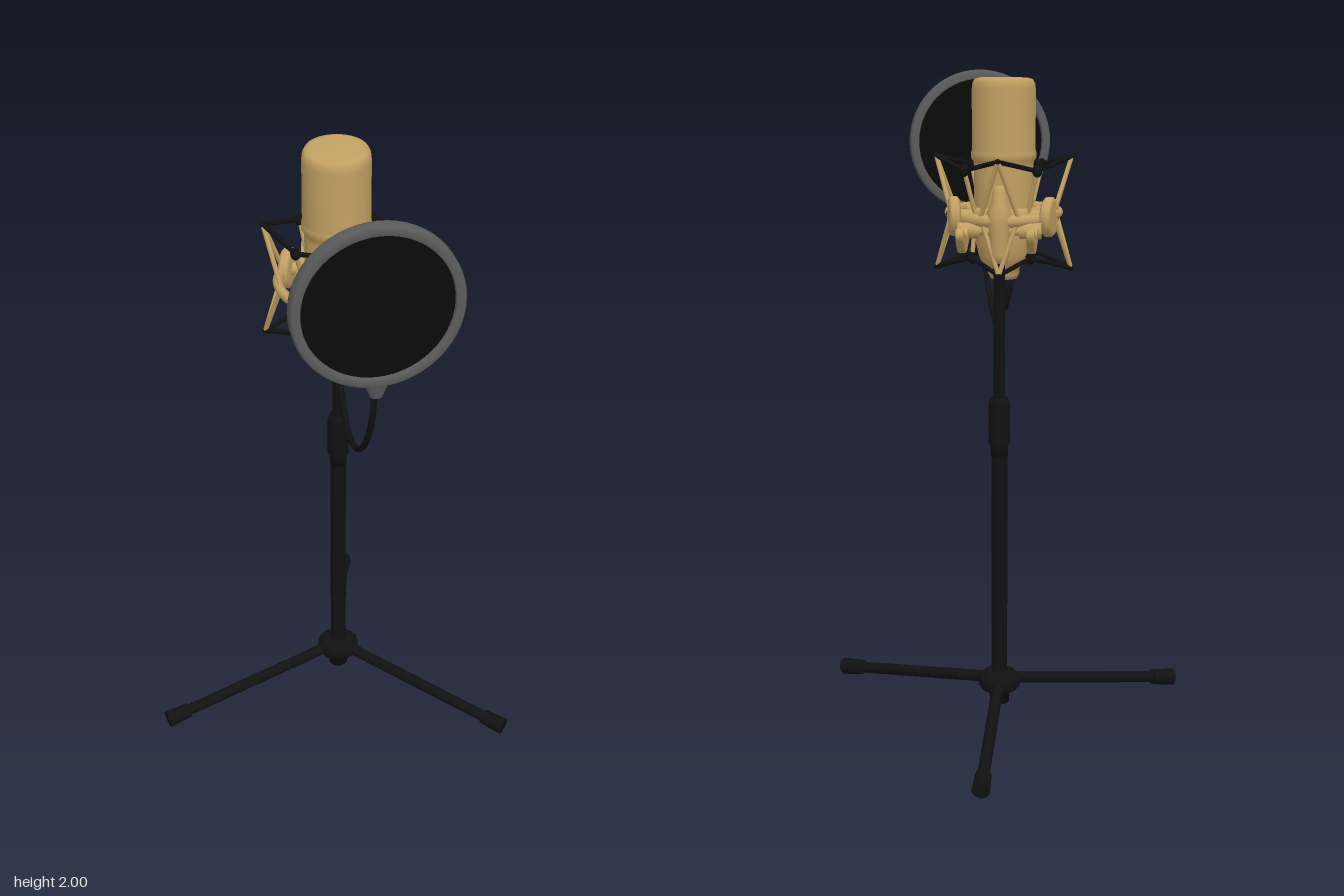
import * as THREE from 'three';

const mat = (name, color, side = THREE.FrontSide) => {
  const m = new THREE.MeshStandardMaterial({ color, side });
  m.name = name;
  return m;
};
const V = (x, y, z) => new THREE.Vector3(x, y, z);

export function createModel() {
  const root = new THREE.Group();
  root.name = 'studioMicrophone';
  const gold = mat('gold', 0xc2a062);
  const black = mat('black', 0x111111);
  const grey = mat('grey', 0x5c5c5c);
  const mesh = mat('filterBlack', 0x0a0a0a);

  const add = (name, geo, material, parent = root) => {
    const m = new THREE.Mesh(geo, material);
    m.name = name;
    parent.add(m);
    return m;
  };
  const lathe = (pts, seg = 40) => new THREE.LatheGeometry(pts.map(p => new THREE.Vector2(p[0], p[1])), seg);
  // round bar between two points
  const bar = (name, a, b, r, material, r2 = r) => {
    const d = b.clone().sub(a);
    const m = add(name, new THREE.CylinderGeometry(r2, r, d.length(), 14), material);
    m.position.copy(a).addScaledVector(d, 0.5);
    m.quaternion.setFromUnitVectors(V(0, 1, 0), d.normalize());
    return m;
  };
  const tube = (name, pts, r, material, seg = 40) =>
    add(name, new THREE.TubeGeometry(new THREE.CatmullRomCurve3(pts), seg, r, 8), material);

  // ---- stand ----
  const PZ = -0.055;
  bar('lowerPole', V(0, 0.05, PZ), V(0, 0.92, PZ), 0.025, black);
  bar('upperPole', V(0, 0.9, PZ), V(0, 1.47, PZ), 0.018, black);
  const collar = add('heightCollar', lathe([[0, 0.86], [0.026, 0.86], [0.027, 0.89], [0.033, 0.9],
    [0.033, 1.02], [0.027, 1.04], [0, 1.04]], 20), black);
  collar.position.z = PZ;
  const hub = add('legHub', lathe([[0, 0.05], [0.03, 0.05], [0.032, 0.09], [0.055, 0.095], [0.066, 0.11],
    [0.066, 0.135], [0.05, 0.15], [0.03, 0.155], [0, 0.155]], 24), black);
  hub.position.z = PZ;
  for (const [x, z] of [[0, -0.655], [0.55, 0.24], [-0.55, 0.24]]) {
    const a = V(0, 0.13, PZ), b = V(x, 0.03, z);
    bar('leg', a, b, 0.018, black);
    bar('foot', b.clone().lerp(a, 0.12), b, 0.024, black, 0.027);
  }

  // ---- microphone ----
  const MZ = 0.1;
  const body = add('microphoneBody', lathe([[0, 1.385], [0.04, 1.385], [0.048, 1.4], [0.05, 1.42], [0.066, 1.43],
    [0.078, 1.46], [0.088, 1.51], [0.091, 1.56], [0.091, 1.73], [0.092, 1.745], [0.1, 1.755], [0.1, 1.77],
    [0.097, 1.78], [0.097, 1.96], [0.095, 1.978], [0.088, 1.99], [0.074, 1.994], [0, 1.994]]), gold);
  body.position.z = MZ;
  // slightly slanted head
  const bp = body.geometry.attributes.position;
  for (let i = 0; i < bp.count; i++) if (bp.getY(i) > 1.9) bp.setY(i, bp.getY(i) - bp.getZ(i) * 0.07);
  body.geometry.computeVertexNormals();
  const badge = add('frontBoss', new THREE.SphereGeometry(0.045, 20, 12), gold);
  badge.position.set(0, 1.47, MZ + 0.065);
  badge.scale.set(1, 0.9, 0.5);
  const plug = add('cablePlug', lathe([[0, 1.285], [0.012, 1.285], [0.02, 1.32], [0.028, 1.345],
    [0.032, 1.385], [0, 1.385]], 20), black);
  plug.position.z = MZ;
  bar('plugLatch', V(0, 1.355, MZ - 0.02), V(0, 1.345, MZ - 0.05), 0.008, black);

  // ---- gooseneck and pop filter ----
  tube('gooseneck', [V(0.005, 1.31, 0.1), V(0.012, 1.25, 0.125), V(0.025, 1.212, 0.2), V(0.04, 1.2, 0.3),
    V(0.065, 1.225, 0.42), V(0.09, 1.3, 0.515), V(0.108, 1.4, 0.565), V(0.116, 1.5, 0.578)], 0.009, black, 60);
  const filter = new THREE.Group();
  filter.name = 'popFilter';
  filter.position.set(0.12, 1.765, 0.58);
  filter.rotation.y = 0.255;
  root.add(filter);
  const rim = add('filterRim', lathe([[0.208, -0.022], [0.228, -0.022], [0.234, -0.015], [0.234, 0.015],
    [0.228, 0.022], [0.208, 0.022], [0.205, 0.015], [0.205, -0.015], [0.208, -0.022]], 56), grey, filter);
  rim.rotation.x = Math.PI / 2;
  const cloth = add('filterMesh', new THREE.CylinderGeometry(0.207, 0.207, 0.02, 56), mesh, filter);
  cloth.rotation.x = Math.PI / 2;
  const clamp = add('filterClamp', new THREE.CylinderGeometry(0.035, 0.016, 0.045, 16), grey, filter);
  clamp.position.y = -0.25;
  clamp.scale.z = 0.6;

  // ---- shock mount rings ----
  const ring = (name, r, t, y) => {
    const m = add(name, new THREE.TorusGeometry(r, t, 12, 56), gold);
    m.rotation.x = Math.PI / 2;
    m.position.set(0, y, MZ);
    return m;
  };
  ring('innerHolder', 0.108, 0.014, 1.59).scale.z = 1.5;
  // outer arc, left open at the sides of the bracket
  const arc = (name, from, to, r, t, y) => {
    const pts = [];
    for (let i = 0; i <= 12; i++) {
      const a = from + (to - from) * i / 12;
      pts.push(V(Math.sin(a) * r * 0.88, y, MZ + Math.cos(a) * r));
    }
    return tube(name, pts, t, gold);
  };
  arc('outerRing', -1.95, 1.95, 0.19, 0.015, 1.59);
  arc('rearBracket', 1.95, 2 * Math.PI - 1.95, 0.165, 0.019, 1.58);

  // ---- prongs and elastic cords ----
  const polar = (a, r, y) => V(Math.sin(a) * r, y, MZ + Math.cos(a) * r);
  for (const [tipY, midY] of [[1.76, 1.725], [1.42, 1.46]]) {
    for (let k = 0; k < 4; k++) {
      const a = k * Math.PI / 2;
      const reach = j => (tipY < 1.5 && j % 4 === 0 ? 0.13 : j % 4 === 2 && tipY < 1.5 ? 0.18 : 0.207);
      const tip = polar(a, reach(k), tipY), next = polar(a + Math.PI / 2, reach(k + 1), tipY);
      for (const s of [-1, 1]) bar('prong', polar(a + s * 0.35, 0.165, 1.59), tip, 0.007, gold);
      add('prongTip', new THREE.SphereGeometry(0.009, 10, 8), black).position.copy(tip);
      const knot = polar(a + Math.PI / 4, tipY > 1.5 ? 0.155 : 0.125, midY);
      bar('elasticCord', tip, knot, 0.007, black);
      bar('elasticCord', knot, next, 0.007, black);
      const hook = polar(a + Math.PI / 4, 0.112, 1.59);
      bar('cordHook', hook, knot, 0.007, gold);
      const bead = add('cordBead', new THREE.SphereGeometry(0.015, 12, 8), black);
      bead.position.copy(knot);
      bead.scale.y = 1.3;
    }
  }

  // ---- swivel knobs and wing levers, mirrored ----
  const wing = new THREE.Shape();
  wing.moveTo(0.02, 1.57);
  wing.quadraticCurveTo(0.07, 1.56, 0.11, 1.54);
  wing.quadraticCurveTo(0.15, 1.55, 0.2, 1.57);
  wing.quadraticCurveTo(0.22, 1.555, 0.19, 1.53);
  wing.quadraticCurveTo(0.15, 1.49, 0.11, 1.5);
  wing.quadraticCurveTo(0.07, 1.515, 0.02, 1.53);
  wing.closePath();
  for (const s of [-1, 1]) {
    const out = V(s * 0.98, 0, -0.2).normalize();
    const c = V(s * 0.145, 1.585, 0.02);
    const knob = add('swivelKnob', lathe([[0, -0.018], [0.05, -0.018], [0.06, -0.01], [0.06, 0.008],
      [0.052, 0.016], [0.045, 0.014], [0, 0.016]], 32), gold);
    knob.position.copy(c);
    knob.quaternion.setFromUnitVectors(V(0, 1, 0), out);
    bar('knobAxle', c.clone().addScaledVector(out, -0.06), c, 0.02, gold);
    const lever = add('wingLever', new THREE.ExtrudeGeometry(wing, { depth: 0.014, bevelEnabled: true,
      bevelThickness: 0.005, bevelSize: 0.004, bevelSegments: 3, curveSegments: 8 }), gold);
    lever.rotation.y = Math.PI / 2;
    lever.position.x = s * 0.103 - 0.007;
    bar('leverPivot', V(s * 0.06, 1.55, -0.045), V(s * 0.125, 1.55, -0.045), 0.024, gold);
  }

  // ---- joint on top of the pole ----
  const joint = add('poleJoint', lathe([[0, 1.455], [0.022, 1.455], [0.03, 1.48], [0.03, 1.55], [0.036, 1.565],
    [0.036, 1.61], [0.024, 1.63], [0.02, 1.67], [0.012, 1.685], [0, 1.685]], 20), gold);
  joint.position.z = PZ;
  bar('jointCrossbar', V(-0.1, 1.55, -0.045), V(0.1, 1.55, -0.045), 0.014, gold);

  return root;
}
